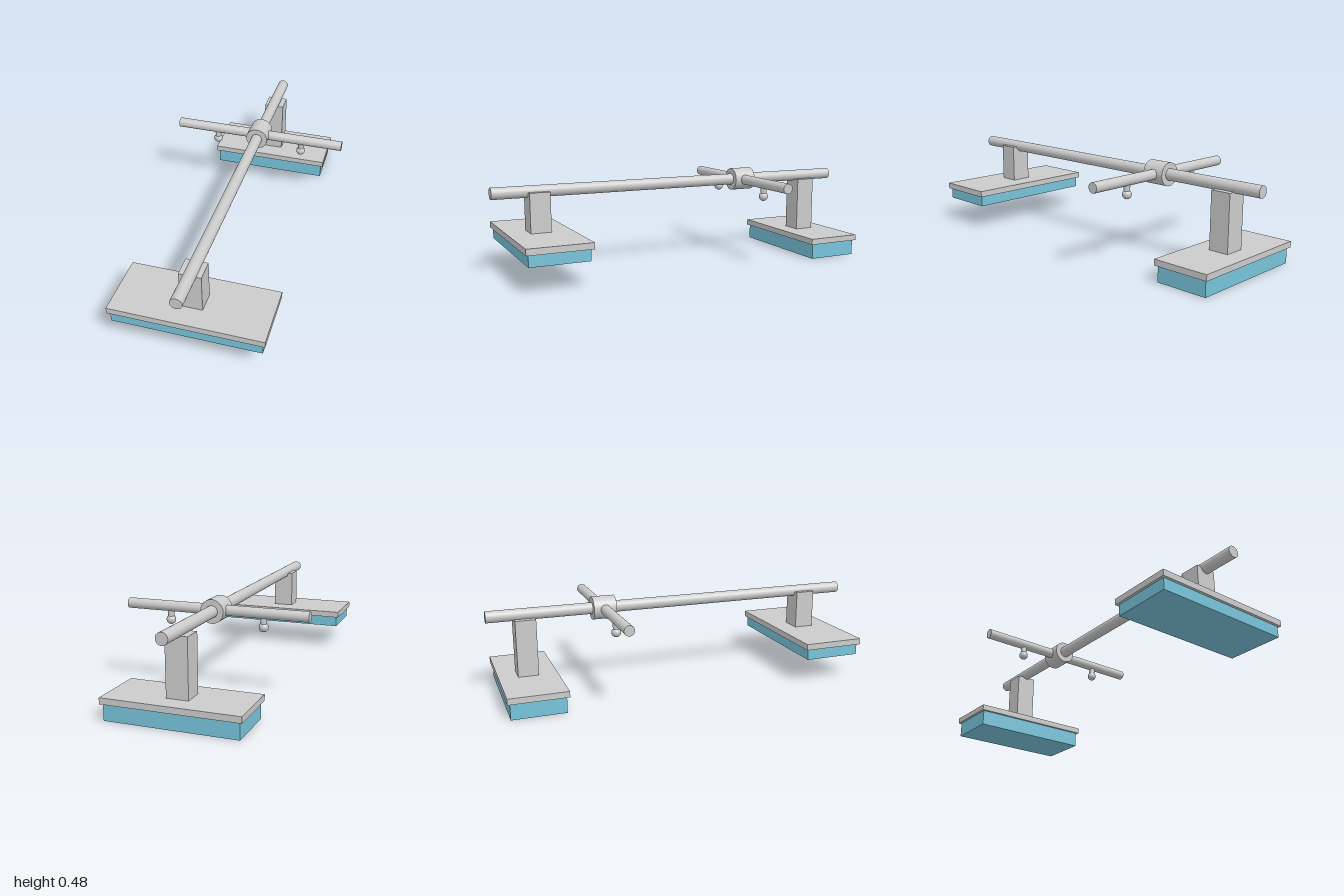
import * as THREE from 'three';

const grey = new THREE.MeshStandardMaterial({ color: 0xcccccc });
const blue = new THREE.MeshStandardMaterial({ color: 0x78c3da });
const AXIS_Y = 0.425; // height of the main tube

export function createModel() {
  const model = new THREE.Group();

  const add = (name, geometry, x, y, z, material = grey, parent = model) => {
    const mesh = new THREE.Mesh(geometry, material);
    mesh.name = name;
    mesh.position.set(x, y, z);
    parent.add(mesh);
    return mesh;
  };
  const rod = (radius, length) => new THREE.CylinderGeometry(radius, radius, length, 40);

  // Long tube and the hub that clamps the handlebar
  add('mainTube', rod(0.03, 2).rotateX(Math.PI / 2), 0, AXIS_Y, 0);
  add('hub', rod(0.06, 0.12).rotateX(Math.PI / 2), 0, AXIS_Y, -0.4);
  add('handlebar', rod(0.0265, 0.95).rotateZ(Math.PI / 2), 0, 0.4235, -0.4);

  // Ball-ended knobs hanging under the handlebar
  for (const side of [1, -1]) {
    const knob = new THREE.Group();
    knob.name = side > 0 ? 'leftKnob' : 'rightKnob';
    knob.position.set(side * 0.245, 0, -0.4);
    add('knobStem', rod(0.016, 0.05), 0, 0.387, 0, grey, knob);
    add('knobBall', new THREE.SphereGeometry(0.024, 32, 20), 0, 0.355, 0, grey, knob);
    model.add(knob);
  }

  // Each foot: padded board with a post up to the tube
  const addFoot = (f) => {
    const foot = new THREE.Group();
    foot.name = f.name;
    foot.position.z = f.z;
    const slab = (name, width, depth, y0, y1, z, material) =>
      add(name, new THREE.BoxGeometry(width, y1 - y0, depth), 0, (y0 + y1) / 2, z, material, foot);
    slab('pad', f.width - 0.025, f.depth - 0.026, f.padBottom, f.boardBottom, 0, blue);
    slab('board', f.width, f.depth, f.boardBottom, f.boardTop, 0, grey);
    slab('post', 0.11, 0.105, f.boardTop, f.postTop, 0, grey);
    model.add(foot);
  };
  addFoot({ name: 'frontFoot', z: 0.768, width: 0.76, depth: 0.325,
    padBottom: 0.132, boardBottom: 0.19, boardTop: 0.222, postTop: 0.424 });
  addFoot({ name: 'rearFoot', z: -0.81, width: 0.68, depth: 0.298,
    padBottom: 0, boardBottom: 0.082, boardTop: 0.113, postTop: 0.405 });

  return model;
}
